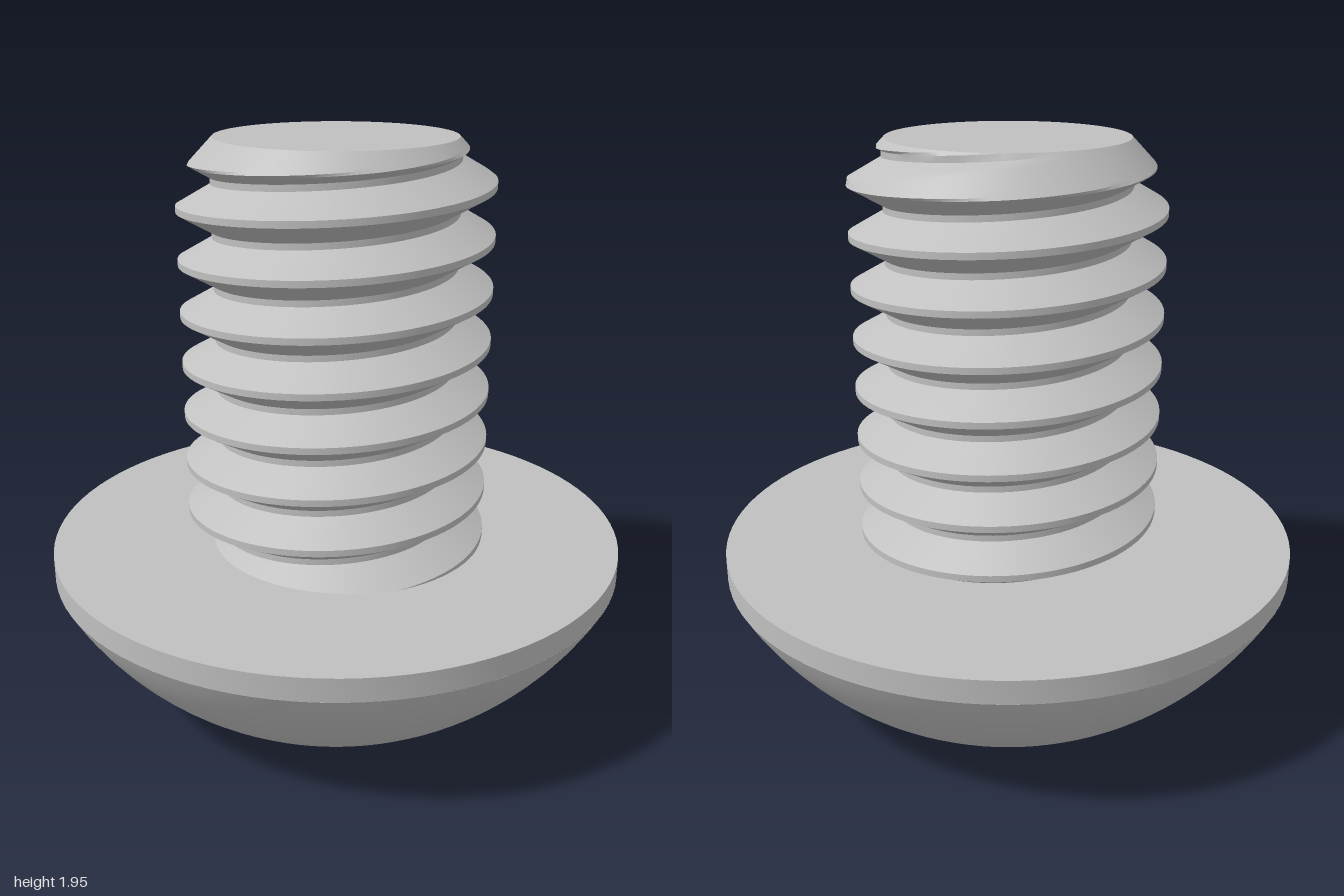
import * as THREE from 'three';
import { toCreasedNormals } from 'three/addons/utils/BufferGeometryUtils.js';

const TAU = Math.PI * 2;

// Surface wound round the y axis: point(angle, row) gives [radius, height].
// Rows running upwards make it face outwards; downwards makes it face inwards.
function wound(segments, rows, point) {
  const out = [];
  const at = (i, j) => {
    const angle = (i / segments) * TAU;
    const [r, y] = point(angle, j);
    return new THREE.Vector3(Math.sin(angle) * r, y, Math.cos(angle) * r);
  };
  const tri = (a, b, c) => {
    const area = b.clone().sub(a).cross(c.clone().sub(a)).length();
    if (area > 1e-8) for (const p of [a, b, c]) out.push(p.x, p.y, p.z);
  };
  for (let i = 0; i < segments; i++) {
    for (let j = 0; j < rows - 1; j++) {
      const a = at(i, j), b = at(i + 1, j), c = at(i + 1, j + 1), d = at(i, j + 1);
      tri(a, b, c);
      tri(a, c, d);
    }
  }
  const geometry = new THREE.BufferGeometry();
  geometry.setAttribute('position', new THREE.Float32BufferAttribute(out, 3));
  return toCreasedNormals(geometry, 0.4);
}

// Threaded shank with a 45 degree chamfer at the tip
function threadGeometry() {
  const pitch = 0.175, bottom = 0.54, top = 1.95;
  const minor = 0.41, major = 0.525, tip = 0.4;
  const crest = 0.011, flank = 0.066; // half crest width, flank height
  const crestY = 1.76;                // crest height at the front

  const radius = (angle, y) => {
    let d = (y - crestY) / pitch - angle / TAU;
    d = Math.abs(d - Math.round(d)) * pitch;
    const t = THREE.MathUtils.clamp((d - crest) / flank, 0, 1);
    return Math.min(major + (minor - major) * t, tip + (top - y) * 0.95);
  };

  // One turn of row offsets: crest, falling flank, root, rising flank
  const steps = 8, offsets = [-crest];
  for (let k = 0; k <= steps; k++) offsets.push(crest + (flank * k) / steps);
  for (let k = 0; k < steps; k++) offsets.push(pitch - crest - flank + (flank * k) / steps);
  const turns = 12, n = offsets.length;

  return wound(80, turns * n, (angle, j) => {
    const turn = Math.floor(j / n) - 9;
    const y = crestY + pitch * (turn + angle / TAU) + offsets[j % n];
    const clamped = THREE.MathUtils.clamp(y, bottom, top);
    return [radius(angle, clamped), clamped];
  });
}

// Domed button head, open in the middle for the socket
function headGeometry() {
  const centreY = 0.995, sphereR = 1.125;
  const profile = [new THREE.Vector2(0.405, 0)];
  for (let k = 0; k <= 16; k++) {
    const y = (0.48 * k) / 16;
    profile.push(new THREE.Vector2(Math.sqrt(sphereR ** 2 - (y - centreY) ** 2), y));
  }
  profile.push(new THREE.Vector2(1, 0.48), new THREE.Vector2(1, 0.56), new THREE.Vector2(0.3, 0.56));
  return toCreasedNormals(new THREE.LatheGeometry(profile, 96), 0.4);
}

// Hexagonal socket with a countersunk rim that leaves scalloped edges
function socketGeometry() {
  const rim = 0.405, flat = 0.35, depth = 0.36, side = Math.PI / 3;
  const turn = THREE.MathUtils.degToRad(-40);
  // The angle is measured from a corner of the hexagon
  const hex = (angle) => {
    const local = ((angle % side) + side) % side - side / 2;
    return flat / Math.cos(local);
  };
  const geometry = wound(96, 4, (angle, j) => {
    const h = hex(angle);
    // Listed from the rim inwards, so reversed below to face the axis
    return [[rim, 0], [h, (rim - h) * 0.9], [h, depth], [0, depth]][3 - j];
  });
  geometry.rotateY(turn);
  return geometry;
}

export function createModel() {
  const steel = new THREE.MeshStandardMaterial({ color: 0xc0c0c0 });
  steel.name = 'steel grey';

  const model = new THREE.Group();
  model.name = 'buttonHeadScrew';
  const add = (name, geometry) => {
    const mesh = new THREE.Mesh(geometry, steel);
    mesh.name = name;
    model.add(mesh);
    return mesh;
  };

  add('head', headGeometry());
  add('hexSocket', socketGeometry());
  add('threadedShank', threadGeometry());

  // Flat end of the shank
  const end = add('shankEnd', new THREE.CircleGeometry(0.4, 80));
  end.rotation.x = -Math.PI / 2;
  end.position.y = 1.95;

  return model;
}
